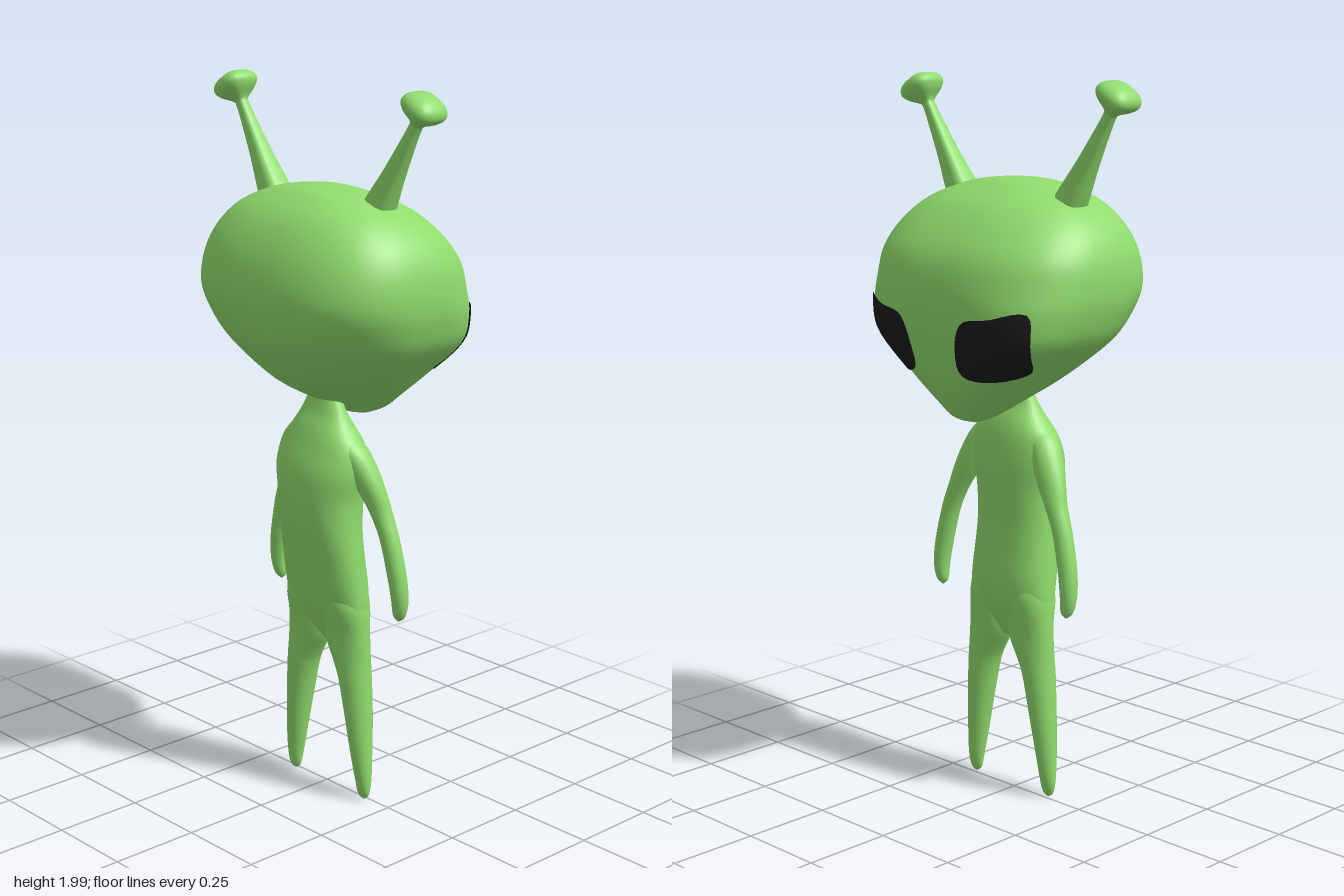
import * as THREE from 'three';

const MID = 0.02; // z of the body's mirror plane

const skin = new THREE.MeshStandardMaterial({ color: 0x8fdb6c });
skin.name = 'green skin';
const eyeBlack = new THREE.MeshStandardMaterial({ color: 0x1a1a1a, side: THREE.DoubleSide });
eyeBlack.name = 'eye black';

// Smooth curve value between p1 and p2
function spline(p0, p1, p2, p3, t) {
  const a = p2 - p0;
  const b = 2 * p0 - 5 * p1 + 4 * p2 - p3;
  const c = 3 * (p1 - p2) + p3 - p0;
  return p1 + 0.5 * t * (a + t * (b + t * c));
}

// Smoothly subdivide rows of [y, xCentre, xRadius, zCentre, zRadius, frontPower, backPower]
function refine(rows, steps = 4) {
  const out = [];
  for (let i = 0; i < rows.length - 1; i++) {
    const p0 = rows[Math.max(i - 1, 0)], p1 = rows[i], p2 = rows[i + 1];
    const p3 = rows[Math.min(i + 2, rows.length - 1)];
    for (let s = 0; s < steps; s++) {
      out.push(p1.map((v, k) => spline(p0[k], v, p2[k], p3[k], s / steps)));
    }
  }
  out.push(rows[rows.length - 1]);
  return out;
}

function surface(pos, index) {
  const g = new THREE.BufferGeometry();
  g.setAttribute('position', new THREE.Float32BufferAttribute(pos, 3));
  g.setIndex(index);
  g.computeVertexNormals();
  return g;
}

// Skin superellipse cross-sections, listed from top to bottom
function loft(rows, segments = 40) {
  const pos = [], index = [];
  rows.forEach(([y, xc, rx, zc, rz, nf, nb]) => {
    for (let j = 0; j < segments; j++) {
      const a = (j / segments) * Math.PI * 2, c = Math.cos(a), s = Math.sin(a);
      const e = 2 / (c > 0 ? nf : nb);
      pos.push(xc + rx * Math.sign(c) * Math.abs(c) ** e, y, zc + rz * Math.sign(s) * Math.abs(s) ** e);
    }
  });
  for (let i = 0; i < rows.length - 1; i++) {
    for (let j = 0; j < segments; j++) {
      const k = (j + 1) % segments;
      const a = i * segments + j, b = i * segments + k, c = a + segments, d = b + segments;
      index.push(a, b, c, b, d, c);
    }
  }
  return surface(pos, index);
}

function add(parent, name, geometry, material = skin) {
  const mesh = new THREE.Mesh(geometry, material);
  mesh.name = name;
  parent.add(mesh);
  return mesh;
}

// Head sections: y, back x, front x, half width, front power, back power
const headRows = refine([
  [1.72, -0.03, -0.03, 0, 2.3, 2.3],
  [1.715, -0.10, 0.03, 0.08, 2.3, 2.3],
  [1.70, -0.14, 0.07, 0.165, 2.3, 2.3],
  [1.66, -0.20, 0.15, 0.26, 2.4, 2.4],
  [1.60, -0.245, 0.215, 0.325, 2.5, 2.5],
  [1.53, -0.275, 0.265, 0.358, 2.6, 2.6],
  [1.45, -0.29, 0.287, 0.365, 2.7, 2.6],
  [1.38, -0.278, 0.29, 0.352, 3.1, 2.4],
  [1.30, -0.245, 0.28, 0.312, 3.5, 2.1],
  [1.20, -0.155, 0.253, 0.195, 3, 2],
  [1.13, -0.03, 0.222, 0.105, 2.4, 2],
  [1.09, 0.05, 0.19, 0.05, 2.2, 2],
  [1.07, 0.125, 0.125, 0, 2, 2],
].map(([y, b, f, w, nf, nb]) => [y, (b + f) / 2, (f - b) / 2, MID, w, nf, nb]));

// Front x of the head at height y, sideways offset w
function faceX(y, w) {
  let i = 0;
  while (i < headRows.length - 2 && headRows[i + 1][0] > y) i++;
  const a = headRows[i], b = headRows[i + 1], t = (a[0] - y) / (a[0] - b[0]);
  const [, xc, rx, , rz, n] = a.map((v, k) => v + (b[k] - v) * t);
  return xc + rx * Math.max(0, 1 - (Math.abs(w) / rz) ** n) ** (1 / n);
}

// Thin almond eye that follows the face
function eyeGeometry(side) {
  const outline = new THREE.CatmullRomCurve3([
    [0.292, 1.405], [0.20, 1.388], [0.115, 1.37], [0.085, 1.30], [0.086, 1.23],
    [0.144, 1.213], [0.223, 1.23], [0.278, 1.29], [0.297, 1.35],
  ].map(([w, y]) => new THREE.Vector3(w, y, 0)), true).getSpacedPoints(40).slice(0, 40);
  const rings = 8, n = outline.length, pos = [], index = [];
  for (let r = 0; r <= rings; r++) {
    outline.forEach((p) => {
      const w = 0.19 + (p.x - 0.19) * r / rings, y = 1.31 + (p.y - 1.31) * r / rings;
      pos.push(faceX(y, w) + 0.007, y, MID + side * w);
    });
  }
  for (let r = 0; r < rings; r++) {
    for (let j = 0; j < n; j++) {
      const a = r * n + j, b = r * n + (j + 1) % n, c = a + n, d = b + n;
      if (side > 0) index.push(a, b, c, b, d, c);
      else index.push(a, c, b, b, c, d);
    }
  }
  return surface(pos, index);
}

export function createModel() {
  const model = new THREE.Group();
  model.name = 'alien';

  add(model, 'head', loft(headRows, 64));

  // Torso: y, back x, front x, half width
  const torsoRows = [
    [1.16, -0.05, 0.00, 0.05],
    [1.11, -0.065, 0.01, 0.075],
    [1.07, -0.085, 0.03, 0.10],
    [1.02, -0.105, 0.045, 0.138],
    [0.95, -0.13, 0.053, 0.145],
    [0.87, -0.136, 0.052, 0.13],
    [0.78, -0.127, 0.046, 0.13],
    [0.70, -0.11, 0.049, 0.135],
    [0.62, -0.095, 0.056, 0.14],
    [0.55, -0.075, 0.05, 0.142],
    [0.49, -0.05, 0.03, 0.13],
    [0.45, -0.025, 0.01, 0.08],
    [0.44, -0.01, -0.01, 0],
  ].map(([y, b, f, w]) => [y, (b + f) / 2, (f - b) / 2, MID, w, 2.3, 2.3]);
  add(model, 'torso', loft(refine(torsoRows)));

  for (const side of [1, -1]) {
    const label = side > 0 ? 'left' : 'right';

    add(model, label + 'Eye', eyeGeometry(side), eyeBlack);

    // Leg: y, back x, front x, inner and outer offsets
    const legRows = [
      [0.66, -0.05, 0.02, 0.05, 0.11],
      [0.58, -0.077, 0.047, 0.01, 0.14],
      [0.50, -0.062, 0.042, 0.0, 0.147],
      [0.45, -0.058, 0.039, 0.006, 0.15],
      [0.40, -0.056, 0.037, 0.034, 0.152],
      [0.35, -0.055, 0.035, 0.058, 0.155],
      [0.25, -0.05, 0.03, 0.081, 0.16],
      [0.15, -0.043, 0.021, 0.10, 0.164],
      [0.06, -0.032, 0.011, 0.116, 0.166],
      [0.015, -0.022, 0.0, 0.124, 0.161],
      [0, -0.01, -0.01, 0.143, 0.143],
    ].map(([y, b, f, i, o]) => [y, (b + f) / 2, (f - b) / 2, MID + side * (i + o) / 2, (o - i) / 2, 2, 2]);
    add(model, label + 'Leg', loft(refine(legRows), 28));

    // Arm: y, x centre, x radius, offset, half width
    const armRows = [
      [1.06, -0.03, 0.02, 0.08, 0.02],
      [1.02, -0.025, 0.042, 0.108, 0.04],
      [0.96, -0.012, 0.042, 0.136, 0.046],
      [0.90, 0.0, 0.035, 0.163, 0.042],
      [0.85, 0.008, 0.03, 0.186, 0.033],
      [0.78, 0.013, 0.027, 0.215, 0.028],
      [0.68, 0.018, 0.026, 0.239, 0.027],
      [0.61, 0.022, 0.023, 0.247, 0.024],
      [0.565, 0.024, 0.015, 0.243, 0.018],
      [0.548, 0.025, 0, 0.24, 0],
    ].map(([y, x, rx, w, rz]) => [y, x, rx, MID + side * w, rz, 2, 2]);
    add(model, label + 'Arm', loft(refine(armRows), 24));

    // Antenna: flared stalk with a squarish knob, leaning outward
    const antennaRows = [
      [0.337, 0], [0.333, 0.026], [0.32, 0.048], [0.30, 0.055], [0.28, 0.043], [0.258, 0.019],
      [0.24, 0.016], [0.18, 0.02], [0.09, 0.028], [0.0, 0.039], [-0.03, 0.04],
    ].map(([y, r]) => [y, 0, r, 0, r, 3, 3]);
    const antenna = add(model, label + 'Antenna', loft(refine(antennaRows), 28));
    antenna.position.set(-0.006, 1.685, side * 0.21);
    antenna.rotation.x = side * 0.53;
  }
  return model;
}
